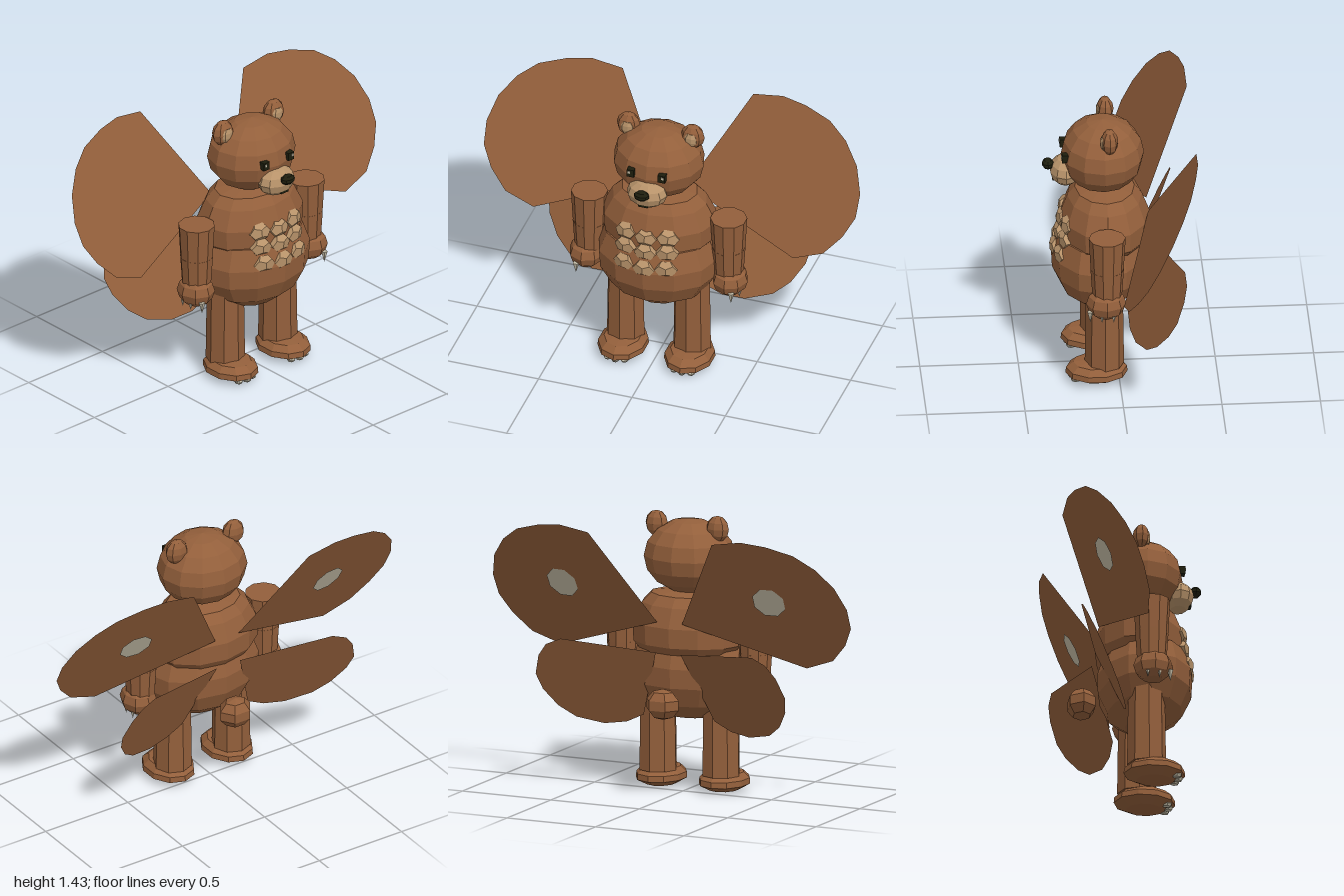
import * as THREE from 'three';

const material = (name, color, extra = {}) =>
  new THREE.MeshStandardMaterial({ name, color, flatShading: true, ...extra });

export function createModel() {
  const root = new THREE.Group();
  root.name = 'wingedBear';
  const brown = material('brownFur', 0x935f3b, { side: THREE.DoubleSide });
  const tan = material('tanFur', 0xb8936a);
  const dark = material('darkNose', 0x1e1e0e);
  const ivory = material('ivory', 0xc4bca6);

  const add = (name, geometry, mat, pos = [0, 0, 0], scale = [1, 1, 1], parent = root) => {
    const mesh = new THREE.Mesh(geometry, mat);
    mesh.name = name;
    mesh.position.set(...pos);
    mesh.scale.set(...scale);
    parent.add(mesh);
    return mesh;
  };
  const ball = (name, mat, pos, scale, w = 10, h = 7) =>
    add(name, new THREE.SphereGeometry(1, w, h), mat, pos, scale);
  const turned = (name, profile, sides, pos, scale) =>
    add(name, new THREE.LatheGeometry(profile.map(p => new THREE.Vector2(...p)), sides), brown, pos, scale);

  // Torso
  turned('belly', [[0, 0.37], [0.13, 0.385], [0.25, 0.46], [0.31, 0.56], [0.317, 0.66], [0.275, 0.77], [0, 0.82]],
    12, [0, 0, 0.09], [1, 1, 0.77]);
  turned('chest', [[0, 0.7], [0.26, 0.73], [0.295, 0.77], [0.3, 0.87], [0.25, 0.97], [0.2, 1.02], [0, 1.05]],
    12, [0, 0, 0.062], [1, 1, 0.76]);
  ball('tail', brown, [0, 0.495, -0.232], [0.095, 0.08, 0.08], 6, 5);

  // Three rows of abdominal lumps following the curve of the front
  [[0.858, 0.278], [0.775, 0.29], [0.69, 0.312]].forEach(([y, z], row) => {
    for (let col = -1; col <= 1; col++) {
      const lump = add('abdominalMuscle', new THREE.DodecahedronGeometry(1), tan,
        [col * 0.112, y - (col === 0 ? 0.008 : 0), z - Math.abs(col) * 0.018], [0.062, 0.05, 0.032]);
      lump.rotation.set(row === 0 ? -0.15 : 0.05, col * 0.25, 0);
    }
  });

  // Head and face
  ball('head', brown, [0, 1.21, 0.073], [0.238, 0.193, 0.212], 12, 8);
  ball('muzzle', tan, [0, 1.12, 0.262], [0.107, 0.076, 0.08], 10, 6);
  ball('nose', dark, [0, 1.157, 0.35], [0.042, 0.027, 0.031], 8, 5);
  add('mouth', new THREE.BoxGeometry(0.05, 0.014, 0.02), dark, [0, 1.077, 0.318]);

  for (const s of [-1, 1]) {
    ball('ear', brown, [s * 0.172, 1.367, 0.048], [0.063, 0.067, 0.044], 8, 6);
    ball('innerEar', tan, [s * 0.17, 1.362, 0.078], [0.037, 0.042, 0.018], 7, 5);
    add('eye', new THREE.BoxGeometry(0.038, 0.042, 0.035), dark, [s * 0.083, 1.233, 0.267]);
    add('eyeGlint', new THREE.BoxGeometry(0.013, 0.013, 0.004), ivory, [s * 0.09, 1.24, 0.286]);

    // Arms with clawed paws
    add('upperArm', new THREE.CylinderGeometry(0.094, 0.084, 0.18, 10), brown, [s * 0.373, 0.83, 0.074]);
    add('forearm', new THREE.CylinderGeometry(0.085, 0.074, 0.17, 10), brown, [s * 0.373, 0.655, 0.074]);
    ball('paw', brown, [s * 0.383, 0.55, 0.08], [0.093, 0.083, 0.102], 8, 6);
    [[0.415, 0.49, 0.163, 1], [0.44, 0.483, 0.105, 0.6], [0.44, 0.483, 0.045, 0.6]].forEach(([x, y, z, k]) => {
      const claw = add('pawClaw', new THREE.ConeGeometry(0.017, 0.06, 5), ivory, [s * x, y, z], [k, k, k]);
      claw.rotation.x = Math.PI;
    });

    // Legs, feet and toes
    add('leg', new THREE.CylinderGeometry(0.094, 0.1, 0.42, 8), brown, [s * 0.178, 0.3, 0.075]);
    turned('foot', [[0, 0.004], [0.075, 0.01], [0.127, 0.04], [0.125, 0.07], [0.095, 0.1], [0, 0.115]],
      10, [s * 0.178, 0, 0.115], [1, 1, 1.24]);
    for (let i = -1; i <= 1; i++)
      ball('toeClaw', ivory, [s * (0.178 + i * 0.045), 0.027, 0.235 - Math.abs(i) * 0.012], [0.022, 0.017, 0.028], 6, 4);

    // Flat wings: an outline laid onto the plane through three of its points
    const wing = (name, outline, a, b, c) => {
      const [A, B, C] = [a, b, c].map(p => new THREE.Vector3(...p));
      const n = B.clone().sub(A).cross(C.clone().sub(A)).normalize();
      if (n.z > 0) n.negate();
      const zAt = (x, y) => A.z - (n.x * (x - A.x) + n.y * (y - A.y)) / n.z;
      const geo = new THREE.ShapeGeometry(new THREE.Shape(outline.map(p => new THREE.Vector2(...p))));
      const p = geo.attributes.position;
      for (let i = 0; i < p.count; i++)
        p.setXYZ(i, s * p.getX(i), p.getY(i), zAt(p.getX(i), p.getY(i)));
      geo.computeVertexNormals();
      add(name, geo, brown);
      return { n, zAt };
    };
    const { n, zAt } = wing('upperWing',
      [[0.07, 0.9], [0.35, 1.38], [0.51, 1.405], [0.64, 1.39], [0.78, 1.35], [0.88, 1.28], [0.96, 1.18],
        [1, 1.06], [0.995, 0.95], [0.94, 0.85], [0.85, 0.755], [0.695, 0.7]],
      [0.07, 0.9, -0.155], [0.35, 1.38, -0.38], [0.695, 0.7, 0.01]);
    wing('lowerWing',
      [[0.07, 0.745], [0.54, 0.8], [0.62, 0.765], [0.67, 0.7], [0.705, 0.595], [0.685, 0.51], [0.625, 0.42],
        [0.545, 0.36], [0.41, 0.33], [0.295, 0.345], [0.2, 0.39]],
      [0.07, 0.745, -0.17], [0.54, 0.8, -0.31], [0.24, 0.36, -0.04]);

    // Pale spot on the back of each upper wing
    const normal = new THREE.Vector3(s * n.x, n.y, n.z);
    const spot = add('wingSpot', new THREE.CircleGeometry(0.09, 8), ivory, [s * 0.583, 1.07, zAt(0.583, 1.07)]);
    spot.position.addScaledVector(normal, 0.006);
    spot.quaternion.setFromUnitVectors(new THREE.Vector3(0, 0, 1), normal);
  }
  return root;
}
